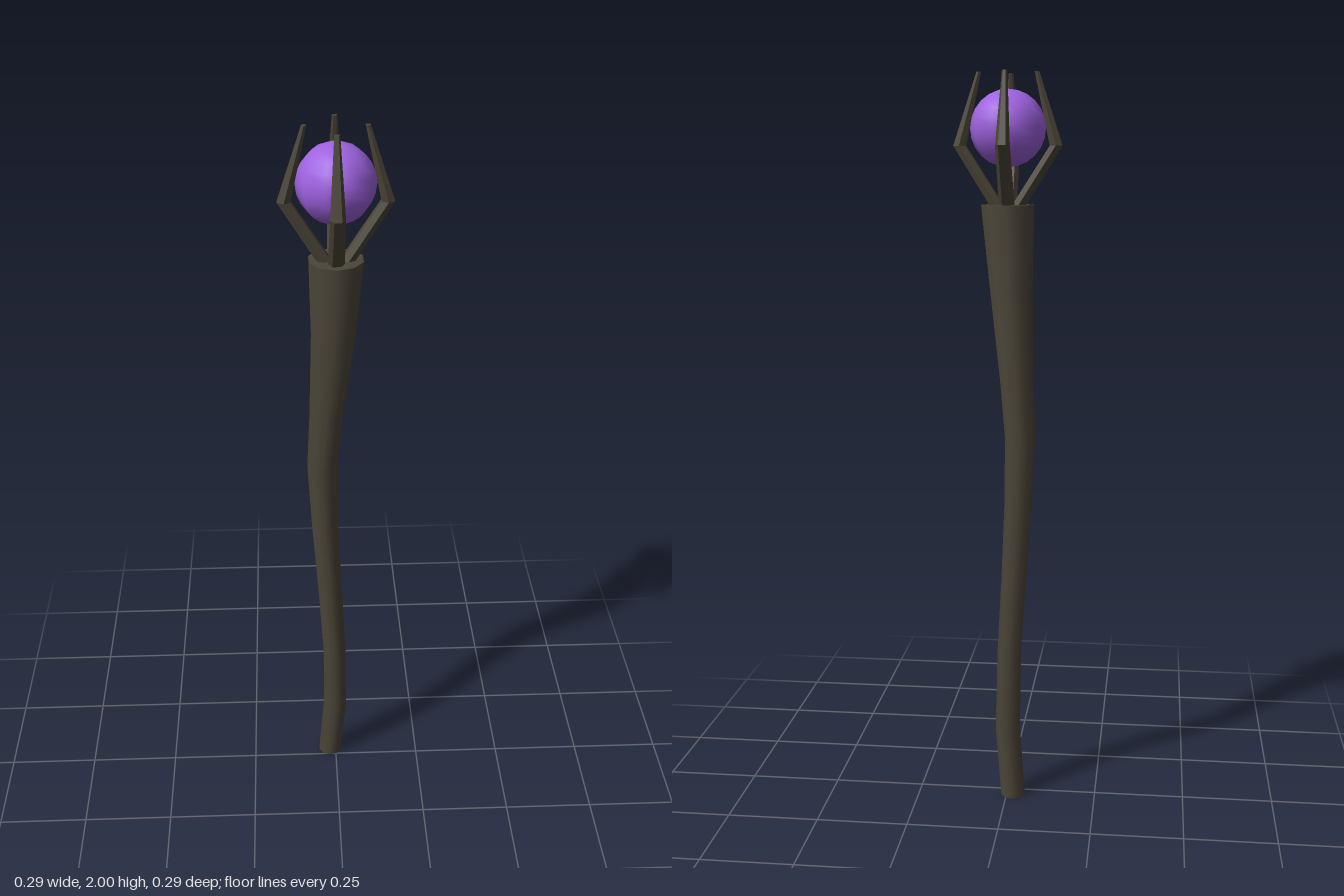
import * as THREE from 'three';

// Tapered limb through horizontal rings given as [x, y, z, radius]
function limb(rings, sides) {
  const rows = rings.length - 1;
  const geo = new THREE.CylinderGeometry(1, 1, rows, sides, rows);
  const pos = geo.attributes.position;
  for (let i = 0; i < pos.count; i++) {
    const [x, y, z, r] = rings[Math.round(pos.getY(i) + rows / 2)];
    pos.setXYZ(i, x + pos.getX(i) * r, y, z + pos.getZ(i) * r);
  }
  return geo;
}

export function createModel() {
  const wood = new THREE.MeshStandardMaterial({ color: 0x4b4538 });
  wood.name = 'dark wood';
  const crystal = new THREE.MeshStandardMaterial({ color: 0x9f62e0 });
  crystal.name = 'purple crystal';

  const group = new THREE.Group();
  group.name = 'staff';
  const add = (name, geo, mat) => {
    const mesh = new THREE.Mesh(geo, mat);
    mesh.name = name;
    group.add(mesh);
    return mesh;
  };

  // Crooked shaft, thickening toward the top
  add('shaft', limb([
    [-0.018, 0, -0.03, 0.034],
    [-0.002, 0.2, -0.019, 0.035],
    [-0.004, 0.42, 0.001, 0.034],
    [-0.016, 0.63, 0.001, 0.035],
    [-0.03, 0.85, -0.021, 0.038],
    [-0.037, 1.04, -0.032, 0.042],
    [-0.026, 1.2, -0.021, 0.046],
    [-0.008, 1.45, 0.006, 0.059],
    [0, 1.66, -0.002, 0.072],
  ], 10), wood);

  // Orb held above the shaft
  add('orb', new THREE.SphereGeometry(0.1, 10, 12), crystal).position.y = 1.857;

  // Four bent, faceted claws around the orb
  const claw = limb([
    [0.018, 1.64, 0, 0.021],
    [0.127, 1.812, 0, 0.019],
    [0.076, 2, 0, 0.007],
  ], 6).toNonIndexed();
  claw.computeVertexNormals();
  ['leftClaw', 'backClaw', 'rightClaw', 'frontClaw'].forEach((name, i) => {
    add(name, claw, wood).rotation.y = i * Math.PI / 2;
  });

  return group;
}
